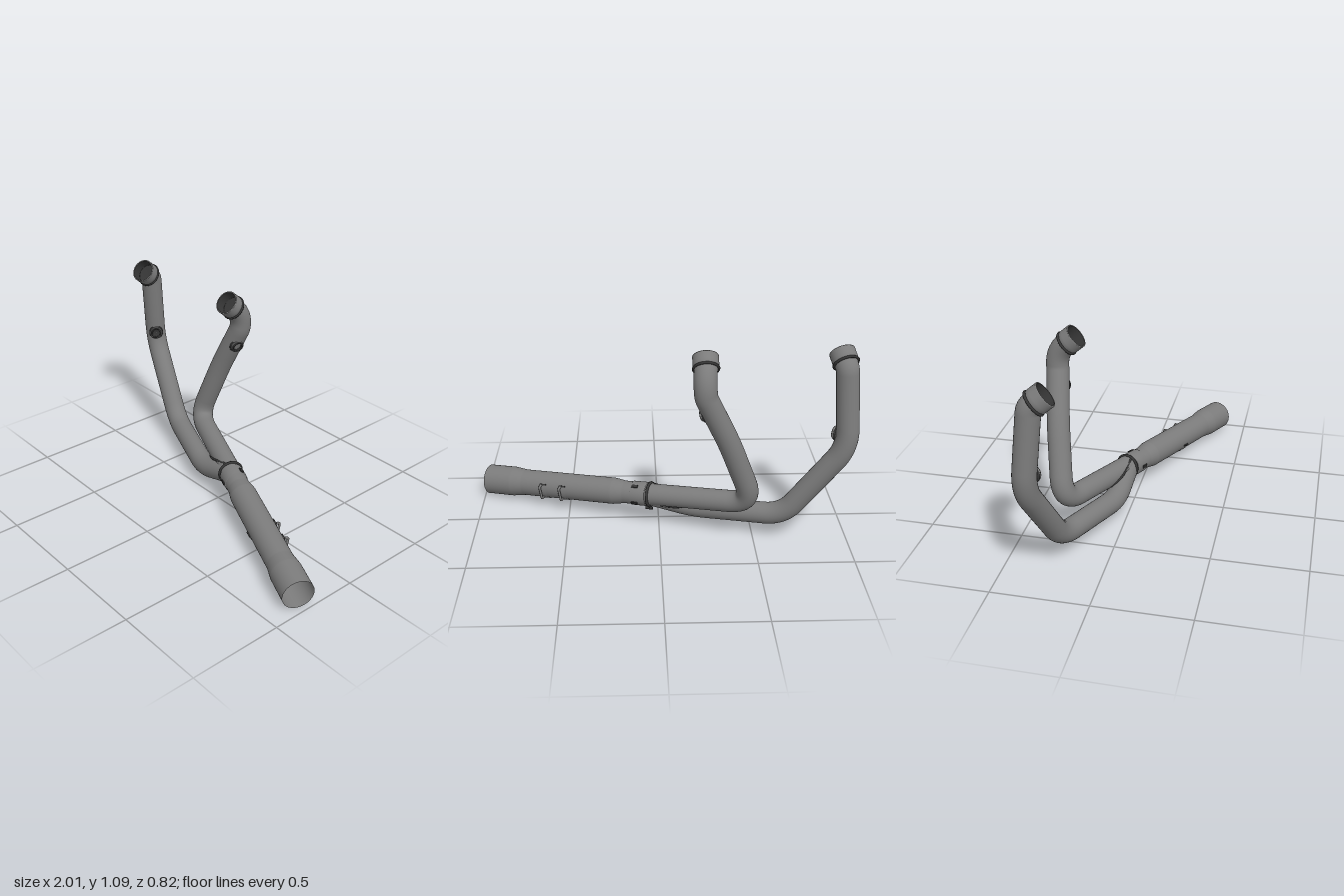
import * as THREE from 'three';

const V = (x, y, z) => new THREE.Vector3(x, y, z);

const steel = new THREE.MeshStandardMaterial({ color: 0x7c7c7c, side: THREE.DoubleSide });
steel.name = 'steel';
const dark = new THREE.MeshStandardMaterial({ color: 0x363636, side: THREE.DoubleSide });
dark.name = 'darkSteel';

function mesh(name, geometry, material, parent) {
  const m = new THREE.Mesh(geometry, material);
  m.name = name;
  parent.add(m);
  return m;
}

// Straight runs joined by rounded bends; each inner point is [corner, bend length].
function bentPath(start, corners, end) {
  const path = new THREE.CurvePath();
  let from = start;
  corners.forEach(([corner, cut], i) => {
    const prev = i ? corners[i - 1][0] : start;
    const next = i < corners.length - 1 ? corners[i + 1][0] : end;
    const a = corner.clone().add(prev.clone().sub(corner).setLength(cut));
    const b = corner.clone().add(next.clone().sub(corner).setLength(cut));
    path.add(new THREE.LineCurve3(from, a));
    path.add(new THREE.QuadraticBezierCurve3(a, corner, b));
    from = b;
  });
  path.add(new THREE.LineCurve3(from, end));
  return path;
}

// Group whose local +y runs along a direction.
function aimed(name, position, dir, parent) {
  const g = new THREE.Group();
  g.name = name;
  g.position.copy(position);
  g.quaternion.setFromUnitVectors(V(0, 1, 0), dir.clone().normalize());
  parent.add(g);
  return g;
}

function lathe(points) {
  return new THREE.LatheGeometry(points.map(([r, y]) => new THREE.Vector2(r, y)), 40);
}

function ring(name, radius, thick, y, parent) {
  const m = mesh(name, new THREE.TorusGeometry(radius, thick, 8, 40), dark, parent);
  m.rotation.x = Math.PI / 2;
  m.position.y = y;
}

// Open collar at the top of a header pipe, origin at its mouth.
function portCollar(name, mouth, dir, parent) {
  const g = aimed(name, mouth, dir, parent);
  mesh('collar', lathe([[0.058, -0.065], [0.066, -0.058], [0.066, -0.04], [0.066, -0.004],
    [0.066, 0], [0.06, 0]]), steel, g);
  mesh('portLining', lathe([[0.001, -0.062], [0.055, -0.06], [0.058, -0.055], [0.06, 0]]), dark, g);
  ring('gasketRing', 0.063, 0.007, -0.068, g);
}

// Threaded sensor boss on the side of a pipe.
function sensorBoss(name, pipeCentre, dir, parent) {
  const g = aimed(name, pipeCentre, dir, parent);
  mesh('bossBody', lathe([[0.036, 0.035], [0.036, 0.068], [0.034, 0.07], [0.022, 0.07]]), steel, g);
  mesh('bossBore', lathe([[0.001, 0.06], [0.021, 0.06], [0.022, 0.07]]), dark, g);
  ring('bossWeld', 0.036, 0.006, 0.055, g);
  ring('bossRim', 0.027, 0.005, 0.07, g);
}

export function createModel() {
  const model = new THREE.Group();
  model.name = 'exhaustSystem';
  const joint = V(0.04, 0.178, -0.053);
  const tail = V(0.968, 0.09, 0.33);

  // Header pipes
  const frontMouth = V(-0.912, 1.05, -0.2), frontDir = V(0.2, 0.62, 0.76).normalize();
  const rearMouth = V(-0.225, 1.05, -0.25), rearDir = V(0, 0.65, 0.76).normalize();
  const under = (p, d) => p.clone().addScaledVector(d, -0.06);
  const headers = [
    ['frontHeaderPipe', bentPath(under(frontMouth, frontDir), [
      [V(-0.932, 0.985, -0.275), 0.022], [V(-0.955, 0.575, -0.312), 0.1],
      [V(-0.655, 0.145, -0.235), 0.1], [V(-0.19, 0.105, -0.06), 0.08],
    ], V(0.06, 0.178, -0.047))],
    ['rearHeaderPipe', bentPath(under(rearMouth, rearDir), [
      [V(-0.217, 0.955, -0.354), 0.065], [V(-0.225, 0.87, -0.352), 0.02],
      [V(-0.35, 0.61, -0.322), 0.08], [V(-0.492, 0.236, -0.272), 0.14],
    ], V(0.06, 0.178, -0.047))],
  ];
  for (const [name, path] of headers) {
    mesh(name, new THREE.TubeGeometry(path, 140, 0.0585, 32), steel, model);
  }
  portCollar('frontPortCollar', frontMouth, frontDir, model);
  portCollar('rearPortCollar', rearMouth, rearDir, model);
  sensorBoss('frontSensorBoss', V(-0.948, 0.637, -0.306), V(0.82, 0.03, 0.57), model);
  sensorBoss('rearSensorBoss', V(-0.272, 0.787, -0.342), V(0.9, -0.25, 0.3), model);

  // Weld seams where the two headers merge
  const seams = [
    [V(-0.18, 0.162, -0.095), V(-0.1, 0.197, -0.047), V(0.03, 0.232, -0.03)],
    [V(-0.18, 0.145, -0.11), V(-0.1, 0.128, -0.113), V(0.03, 0.135, -0.09)],
  ];
  for (const s of seams) {
    mesh('mergeWeld', new THREE.TubeGeometry(new THREE.CatmullRomCurve3(s), 24, 0.006, 8), dark, model);
  }

  // Tail section: local y runs to the outlet, x to the back, z downward
  const axis = tail.clone().sub(joint);
  const length = axis.length();
  axis.normalize();
  const back = V(0, 1, 0).cross(axis).normalize();
  const tailGroup = new THREE.Group();
  tailGroup.name = 'tailSection';
  tailGroup.position.copy(joint);
  tailGroup.setRotationFromMatrix(new THREE.Matrix4().makeBasis(back, axis, back.clone().cross(axis)));
  model.add(tailGroup);

  mesh('tailPipe', lathe([[0.062, -0.01], [0.062, 0.15], [0.063, 0.16], [0.072, 0.215],
    [0.073, 0.225], [0.073, 0.77], [0.074, 0.78], [0.082, 0.84], [0.083, 0.85],
    [0.083, length]]), steel, tailGroup);

  // Joint clamp with its bolt
  ring('jointClamp', 0.064, 0.008, 0.005, tailGroup);
  mesh('clampSleeve', lathe([[0.062, 0.02], [0.066, 0.022], [0.066, 0.105], [0.062, 0.107]]), steel, tailGroup);
  const bolt = mesh('clampBolt', new THREE.CylinderGeometry(0.008, 0.008, 0.04, 12), dark, tailGroup);
  bolt.position.set(0.02, 0.012, 0.074);
  for (const a of [-1.5, -0.2, 1.1, 2.6]) {
    const lug = mesh('clampLug', new THREE.BoxGeometry(0.016, 0.035, 0.008), dark, tailGroup);
    lug.position.set(0.067 * Math.sin(a), 0.08, 0.067 * Math.cos(a));
    lug.rotation.y = a;
  }

  // Mounting straps around the underside, each with a raised hanger at the back
  for (const [y, start, sweep] of [[0.51, -1.3, 3.3], [0.63, -0.2, 2.2]]) {
    const strap = mesh('mountStrap', new THREE.CylinderGeometry(0.076, 0.076, 0.036, 32, 1, true, start, sweep), steel, tailGroup);
    strap.position.y = y;
    for (const a of [start, start + sweep]) {
      const edge = mesh('strapEnd', new THREE.BoxGeometry(0.008, 0.038, 0.006), dark, tailGroup);
      edge.position.set(0.076 * Math.sin(a), y, 0.076 * Math.cos(a));
      edge.rotation.y = a;
    }
    const at = (r, a) => V(r * Math.sin(a), y + 0.01, r * Math.cos(a));
    const hanger = bentPath(at(0.07, 2.0), [[at(0.096, 1.85), 0.01], [at(0.096, 1.0), 0.01]], at(0.07, 0.8));
    mesh('hanger', new THREE.TubeGeometry(hanger, 32, 0.007, 8), steel, tailGroup);
  }
  return model;
}
